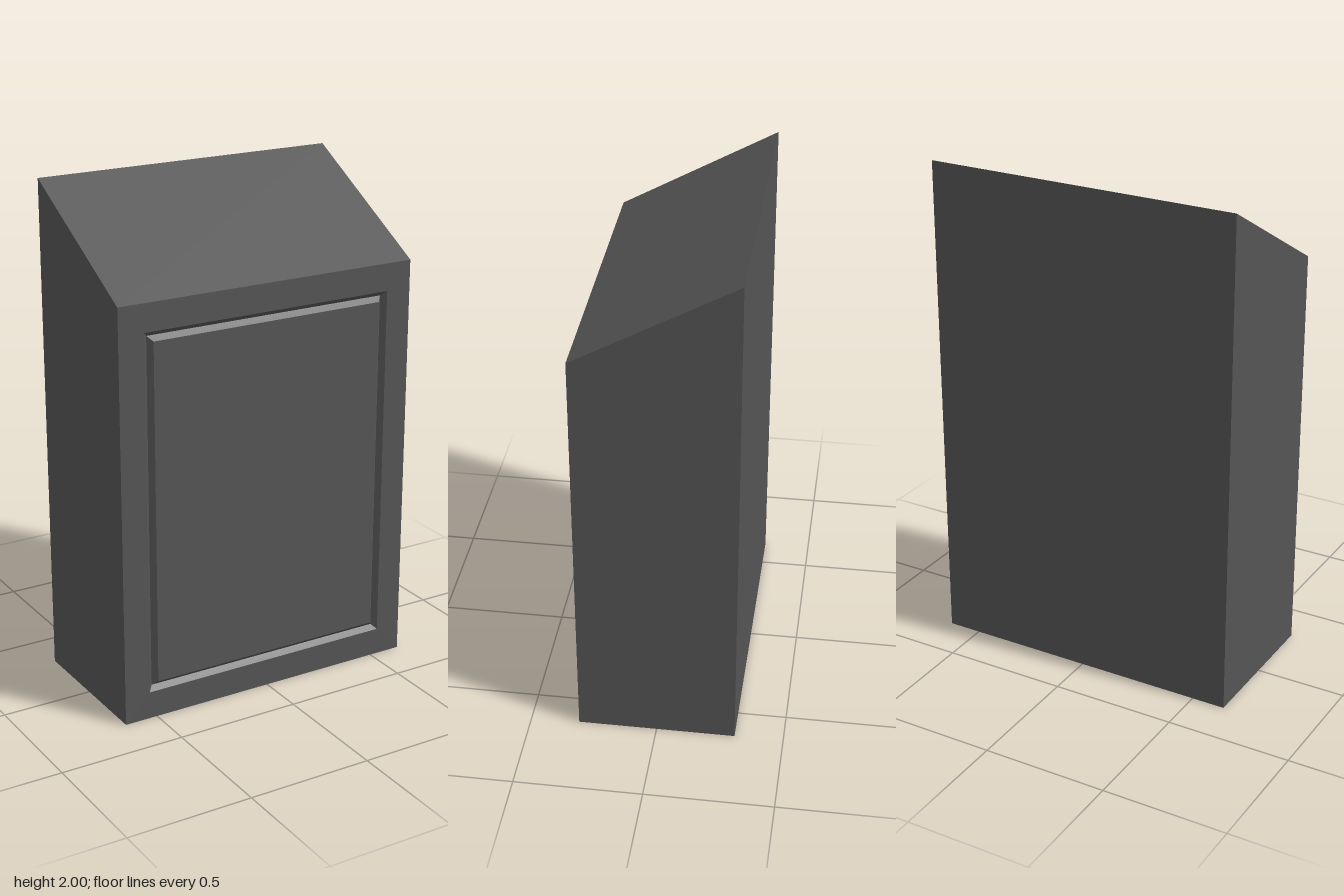
import * as THREE from 'three';

const material = new THREE.MeshStandardMaterial({ color: 0x555555, flatShading: true });

// Rectangle in the xy plane, counter-clockwise seen from the front
const rect = (w, y0, y1, z) => [[-w, y0, z], [w, y0, z], [w, y1, z], [-w, y1, z]];

// Joins successive rectangles from back to front, optionally closing the ends
function loft(name, rings, capBack = false, capFront = false) {
  const pos = [];
  const quad = (a, b, c, d) => pos.push(...a, ...b, ...c, ...a, ...c, ...d);
  for (let r = 0; r + 1 < rings.length; r++) {
    const A = rings[r], B = rings[r + 1];
    for (let i = 0; i < 4; i++) {
      const j = (i + 1) % 4;
      quad(A[i], A[j], B[j], B[i]);
    }
  }
  if (capBack) quad(...[...rings[0]].reverse());
  if (capFront) quad(...rings[rings.length - 1]);
  const geometry = new THREE.BufferGeometry();
  geometry.setAttribute('position', new THREE.Float32BufferAttribute(pos, 3));
  geometry.computeVertexNormals();
  const mesh = new THREE.Mesh(geometry, material);
  mesh.name = name;
  return mesh;
}

export function createModel() {
  const group = new THREE.Group();
  group.name = 'slopedCabinet';

  const front = 0.309, depth = 0.02;
  const back = rect(0.635, 0, 2, -front);
  const face = rect(0.635, 0, 1.655, front);
  const grooveOuter = rect(0.53, 0.11, 1.545, front);
  const grooveFloor = rect(0.511, 0.129, 1.526, front - depth);
  const grooveInner = rect(0.492, 0.148, 1.507, front);

  // Box with a sloping top and a flat border around the door
  group.add(loft('cabinetBody', [back, face, grooveOuter], true));
  // V-shaped groove outlining the door
  group.add(loft('doorGroove', [grooveOuter, grooveFloor, grooveInner]));
  // Door panel flush with the front
  group.add(loft('doorPanel', [grooveInner], false, true));

  return group;
}
